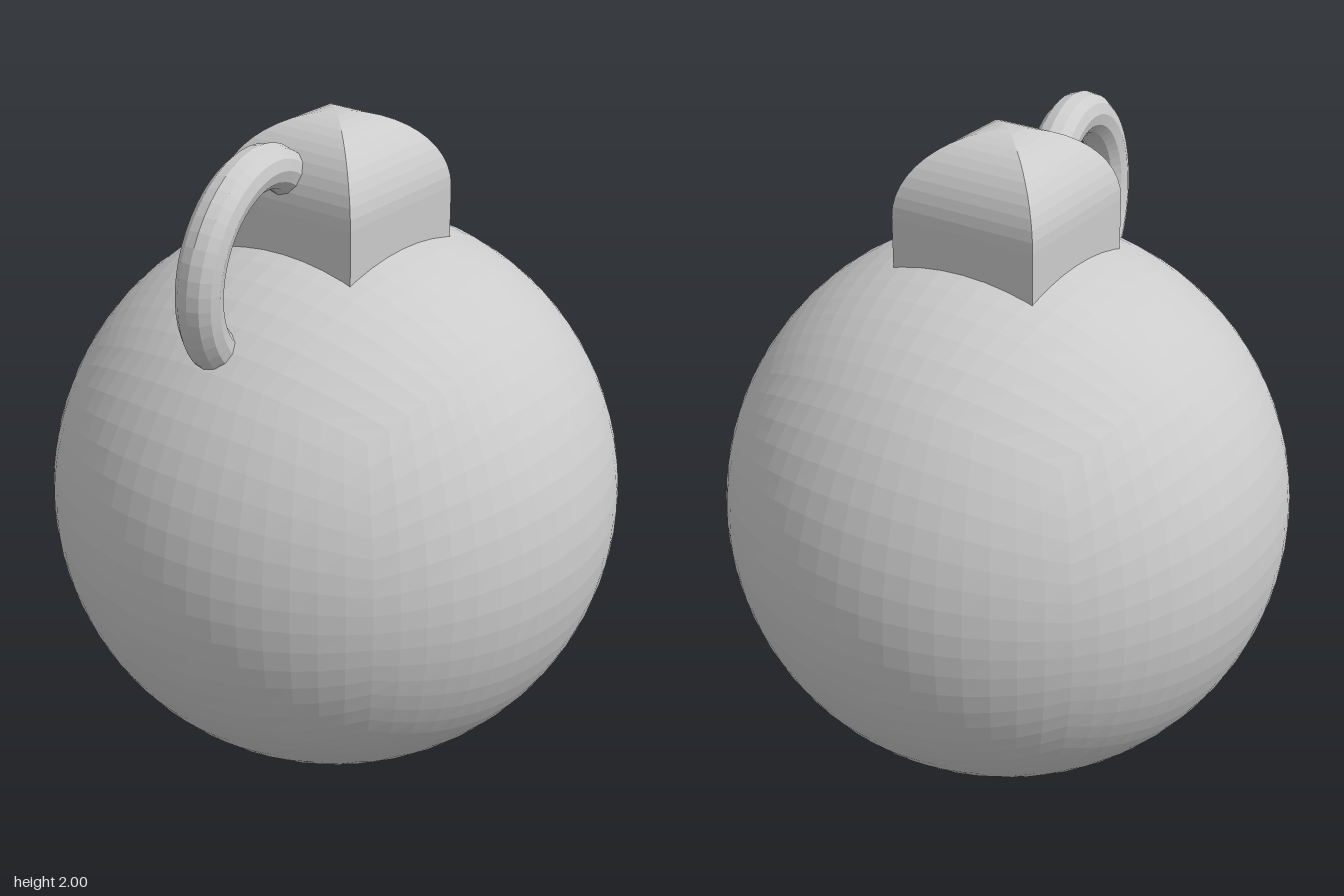
import * as THREE from 'three';

export function createModel() {
  const model = new THREE.Group();
  const material = new THREE.MeshStandardMaterial({ color: 0xcccccc, flatShading: true });
  const add = (name, geometry) => {
    const mesh = new THREE.Mesh(geometry, material);
    mesh.name = name;
    model.add(mesh);
    return mesh;
  };

  // Ball: a subdivided cube whose vertices are pushed out to a sphere
  const radius = 0.842;
  const ballGeometry = new THREE.BoxGeometry(2, 2, 2, 18, 18, 18);
  const position = ballGeometry.attributes.position;
  const v = new THREE.Vector3();
  const even = (t) => Math.tan(t * Math.PI / 4); // equal angles per cell
  for (let i = 0; i < position.count; i++) {
    v.fromBufferAttribute(position, i);
    v.set(even(v.x), even(v.y), even(v.z)).setLength(radius);
    position.setXYZ(i, v.x, v.y, v.z);
  }
  ballGeometry.computeVertexNormals();
  add('ball', ballGeometry).position.y = radius;

  // Cap: square block with a vaulted top, an arch profile swept in four sides
  const half = 0.23, spring = 1.77, steps = 12;
  const profile = [new THREE.Vector2(0, 1.5), new THREE.Vector2(half * Math.SQRT2, 1.5)];
  for (let i = 0; i <= steps; i++) {
    const a = (i / steps) * Math.PI / 2;
    const r = i === steps ? 0 : half * Math.SQRT2 * Math.cos(a);
    profile.push(new THREE.Vector2(r, spring + half * Math.sin(a)));
  }
  const cap = add('cap', new THREE.LatheGeometry(profile, 4, Math.PI / 4));
  cap.position.set(0.005, 0, 0.006);

  // Ring: slightly tilted hoop through the front of the cap
  const ring = add('ring', new THREE.TorusGeometry(0.262, 0.063, 12, 48));
  ring.position.set(-0.004, 1.665, 0.36);
  ring.quaternion.setFromUnitVectors(
    new THREE.Vector3(0, 0, 1),
    new THREE.Vector3(1, -0.062, -0.17).normalize()
  );

  return model;
}
